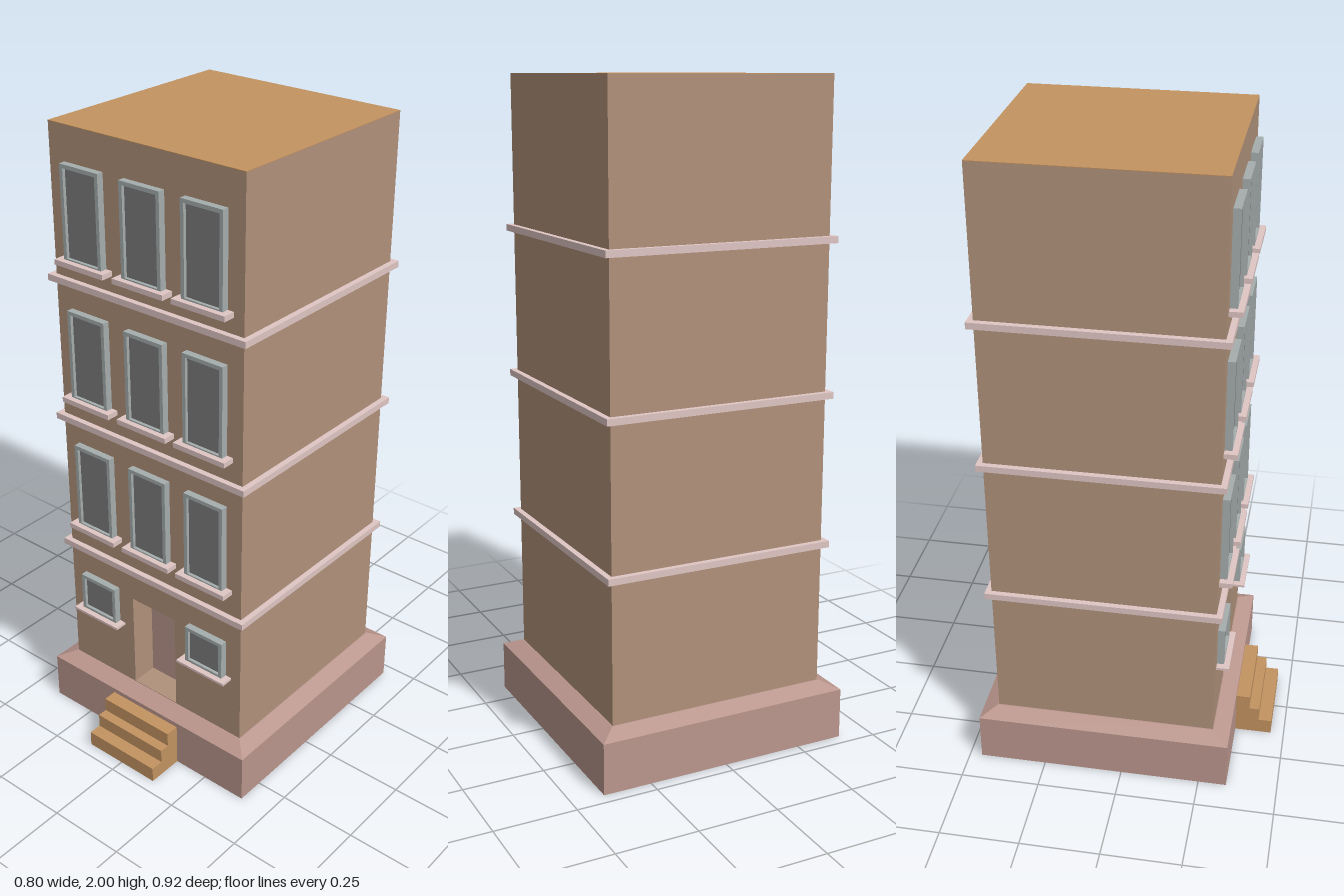
import * as THREE from 'three';

const mat = (color, flatShading = false) => new THREE.MeshStandardMaterial({ color, flatShading });

export function createModel() {
  const group = new THREE.Group();
  const brick = mat(0xb0917a), wood = mat(0xc39360), plinth = mat(0xba968d, true);
  const stone = mat(0xdfc6c4), door = mat(0xba968d), metal = mat(0xa6adad);
  const glass = mat(0x7d7d7d), underside = mat(0x9a9a9a);

  const add = (name, geometry, material, parent = group) => {
    const mesh = new THREE.Mesh(geometry, material);
    mesh.name = name;
    parent.add(mesh);
    return mesh;
  };
  // Box given by its limits
  const box = (name, x0, x1, y0, y1, z0, z1, material, parent) => {
    const g = new THREE.BoxGeometry(x1 - x0, y1 - y0, z1 - z0);
    g.translate((x0 + x1) / 2, (y0 + y1) / 2, (z0 + z1) / 2);
    return add(name, g, material, parent);
  };
  const polygon = (points) => new THREE.Shape(points.map(([x, y]) => new THREE.Vector2(x, y)));

  const half = 0.347, cz = -0.061, back = cz - half, front = cz + half;
  const doorX = 0.0875, doorTop = 0.51, doorZ = front - 0.09, floorY = 0.18;

  // Square plinth with a sloped top edge
  const ring = (name, top, bottom, y0, y1, open) => {
    const g = new THREE.CylinderGeometry(top * Math.SQRT2, bottom * Math.SQRT2, y1 - y0, 4, 1, open);
    g.rotateY(Math.PI / 4).translate(0, (y0 + y1) / 2, cz);
    add(name, g, plinth);
  };
  ring('plinth', 0.4, 0.4, 0, 0.157, true);
  ring('plinthSlope', 0.35, 0.4, 0.157, floorY, false);
  add('plinthUnderside', new THREE.PlaneGeometry(0.8, 0.8).rotateX(Math.PI / 2).translate(0, 0, cz), underside);

  // Walls: solid rear block and a front slab with the door opening
  const wallTop = 1.998;
  box('walls', -half, half, floorY, wallTop, back, doorZ, brick);
  const frontShape = polygon([
    [-half, floorY], [-doorX, floorY], [-doorX, doorTop], [doorX, doorTop],
    [doorX, floorY], [half, floorY], [half, wallTop], [-half, wallTop],
  ]);
  const frontGeo = new THREE.ExtrudeGeometry(frontShape, { depth: front - doorZ, bevelEnabled: false });
  add('frontWall', frontGeo.translate(0, 0, doorZ), brick);
  box('roof', -half, half, wallTop, 2, back, front, wood);

  // Recessed door and its threshold
  box('door', -doorX, doorX, floorY, doorTop, doorZ, doorZ + 0.004, door);
  box('threshold', -doorX, doorX, floorY, floorY + 0.002, doorZ, front, brick);

  // String courses between the storeys
  for (const y of [0.613, 1.072, 1.528]) {
    const r = 0.365;
    box('stringCourse', -r, r, y, y + 0.02, cz - r, cz + r, stone);
  }

  // Window with frame, glass and sill
  const addWindow = (x, y0, y1, sillHeight) => {
    const w = new THREE.Group();
    w.name = 'window';
    const h = 0.072, t = 0.012;
    const frame = polygon([[-h, y0], [h, y0], [h, y1], [-h, y1]]);
    frame.holes.push(polygon([[-h + t, y0 + t], [-h + t, y1 - t], [h - t, y1 - t], [h - t, y0 + t]]));
    const g = new THREE.ExtrudeGeometry(frame, { depth: 0.022, bevelEnabled: false });
    add('windowFrame', g.translate(0, 0, front), metal, w);
    box('windowGlass', -h + t, h - t, y0 + t, y1 - t, front, front + 0.012, glass, w);
    box('windowSill', -0.093, 0.093, y0 - sillHeight / 2, y0 + sillHeight / 2, front, front + 0.04, stone, w);
    w.position.x = x;
    group.add(w);
  };
  for (const x of [-0.218, 0.003, 0.219]) {
    for (const y of [0.716, 1.164, 1.605]) addWindow(x, y, y + 0.289, 0.016);
  }
  for (const x of [-0.218, 0.219]) addWindow(x, 0.395, 0.527, 0.008);

  // Front steps
  const steps = polygon([
    [0.335, 0], [0.457, 0], [0.457, 0.05], [0.415, 0.05], [0.415, 0.095],
    [0.383, 0.095], [0.383, 0.142], [0.335, 0.142],
  ]);
  const stepsGeo = new THREE.ExtrudeGeometry(steps, { depth: 0.27, bevelEnabled: false });
  add('frontSteps', stepsGeo.rotateY(-Math.PI / 2).translate(0.135, 0, 0), wood);

  return group;
}
